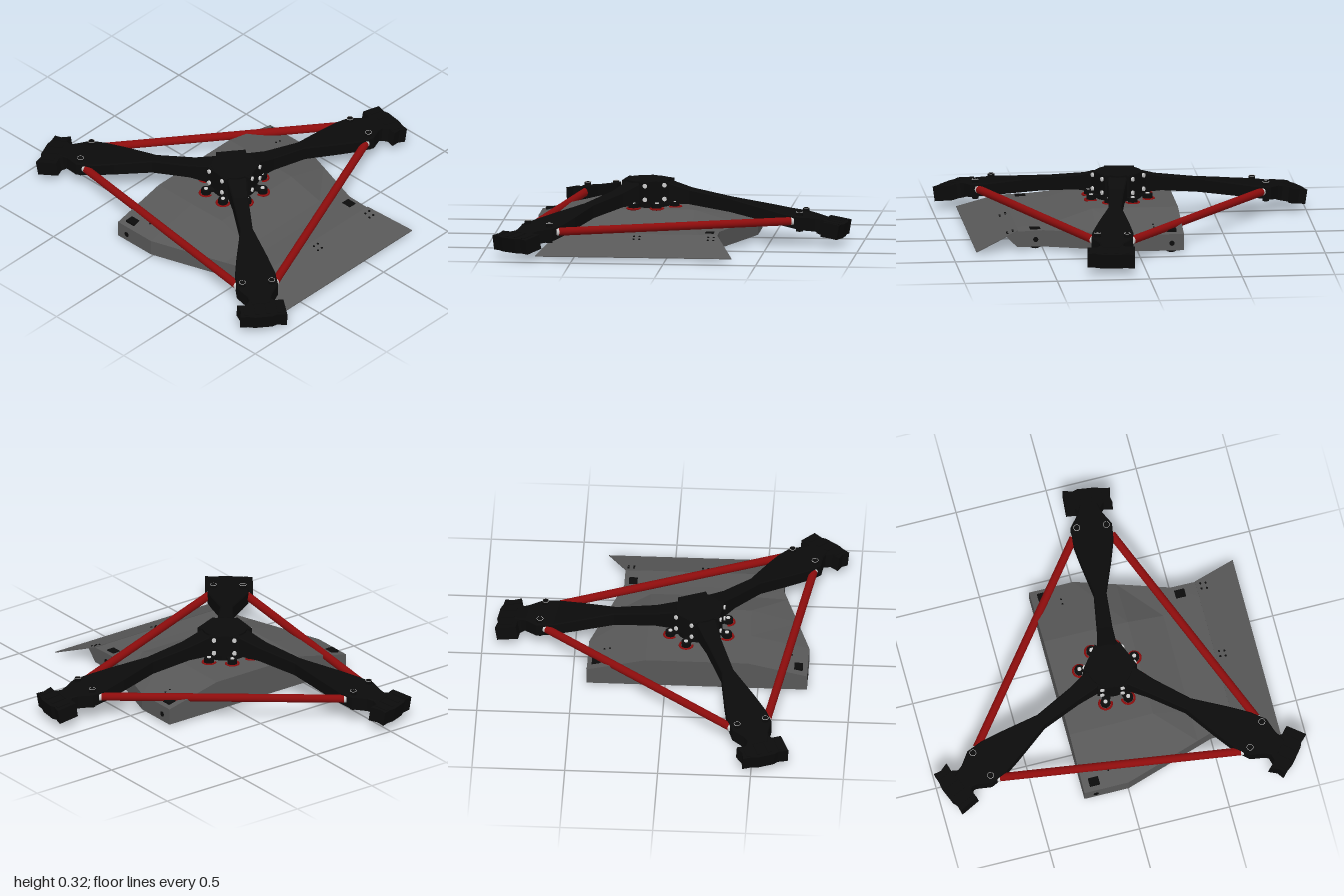
import * as THREE from 'three';

const mat = (color) => new THREE.MeshStandardMaterial({ color });
const BLACK = mat(0x0b0b0b), GREY = mat(0x585858), DARK = mat(0x2c2c2c), RED = mat(0x8c0c0c), SILVER = mat(0xcccccc);
const HUB = new THREE.Vector3(-0.17, 0, 0.05);
const JOINT = 0.857; // distance of the rod joints from the hub
const ANGLES = [8, 128, 248].map((d) => THREE.MathUtils.degToRad(d));

function add(parent, name, geometry, material, x = 0, y = 0, z = 0) {
  const mesh = new THREE.Mesh(geometry, material);
  mesh.name = name;
  mesh.position.set(x, y, z);
  parent.add(mesh);
  return mesh;
}

// Flat-faced skin over convex cross-sections stacked along +z
function loft(sections) {
  const p = [];
  const tri = (a, b, c) => p.push(...a, ...b, ...c);
  const n = sections[0].length;
  for (let s = 0; s < sections.length - 1; s++) {
    const A = sections[s], B = sections[s + 1];
    for (let i = 0; i < n; i++) {
      const j = (i + 1) % n;
      tri(A[i], A[j], B[j]);
      tri(A[i], B[j], B[i]);
    }
  }
  const first = sections[0], last = sections[sections.length - 1];
  for (let i = 1; i < n - 1; i++) {
    tri(first[0], first[i + 1], first[i]);
    tri(last[0], last[i], last[i + 1]);
  }
  const g = new THREE.BufferGeometry();
  g.setAttribute('position', new THREE.Float32BufferAttribute(p, 3));
  g.computeVertexNormals();
  return g;
}

// Cylinder between two points
function rod(parent, name, a, b, radius, material) {
  const dir = b.clone().sub(a);
  const mesh = add(parent, name, new THREE.CylinderGeometry(radius, radius, dir.length(), 20), material);
  mesh.position.copy(a).add(b).multiplyScalar(0.5);
  mesh.quaternion.setFromUnitVectors(new THREE.Vector3(0, 1, 0), dir.normalize());
}

// Ridged base with wheels and a sloping front flap
function buildBase() {
  const base = new THREE.Group();
  base.name = 'base';
  base.position.x = -0.172;

  // z, half width, plateau half width, bottom, edge height, plateau height
  const body = [
    [-0.245, 0.593, 0.275, 0.015, 0.105, 0.18],
    [0, 0.593, 0.275, 0.015, 0.105, 0.18],
    [0.22, 0.522, 0.27, 0.015, 0.105, 0.18],
    [0.42, 0.456, 0.28, 0.015, 0.105, 0.115],
    [0.5, 0.43, 0.3, 0.015, 0.105, 0.108],
    [0.64, 0.43, 0.34, 0.015, 0.1, 0.105],
    [0.7, 0.43, 0.34, 0.075, 0.078, 0.08],
  ].map(([z, w, q, b, e, t]) => [[-w, b, z], [w, b, z], [w, e, z], [q, t, z], [-q, t, z], [-w, e, z]]);
  add(base, 'baseBody', loft(body), GREY);

  const flap = [[0.635, 0.43, 0.106], [0.87, 0.53, 0.016]]
    .map(([z, w, y]) => [[-w, y - 0.003, z], [w, y - 0.003, z], [w, y + 0.002, z], [-w, y + 0.002, z]]);
  add(base, 'frontFlap', loft(flap), GREY);

  for (const side of [-1, 1]) {
    // Wheels in their slots: x, z, body half width, top of slot
    for (const [x, z, w, top] of [[0.545, -0.18, 0.593, 0.124], [0.383, 0.54, 0.43, 0.109]]) {
      const wheel = add(base, 'wheel', new THREE.CylinderGeometry(0.053, 0.053, 0.044, 24), BLACK, side * x, 0.053, z);
      wheel.rotation.z = Math.PI / 2;
      add(base, 'wheelSlot', new THREE.BoxGeometry(0.046, top - 0.013, 0.056), BLACK, side * x, (top + 0.013) / 2, z);
      const axle = add(base, 'axleHole', new THREE.CylinderGeometry(0.014, 0.014, 0.006, 16), BLACK, side * w, 0.055, z);
      axle.rotation.z = Math.PI / 2;
    }
    // Small screw holes on the deck and the flap
    for (const dx of [-0.015, 0.015]) {
      const y = 0.18 - (0.49 + side * dx - 0.275) * 0.236;
      add(base, 'screwHole', new THREE.CylinderGeometry(0.005, 0.005, 0.006, 8), BLACK, side * 0.49 + dx, y, -0.09);
      for (const z of [0.66, 0.69]) {
        add(base, 'flapScrew', new THREE.CylinderGeometry(0.006, 0.006, 0.006, 8), BLACK,
          side * 0.2 + 0.2 + dx, 0.108 - (z - 0.635) * 0.383, z);
      }
    }
    add(base, 'bottomPocket', new THREE.BoxGeometry(0.08, 0.003, 0.07), DARK, side * 0.155, 0.0145, 0.44);
  }
  add(base, 'bottomHole', new THREE.CylinderGeometry(0.045, 0.045, 0.004, 28), BLACK, 0, 0.0145, 0.05);
  return base;
}

// Swept arm that thins, then widens to the rod joints and the end clamp
function buildArm(angle) {
  const arm = new THREE.Group();
  arm.name = 'arm';
  arm.position.copy(HUB);
  arm.rotation.y = -angle;

  // distance from hub, half width, bottom, top
  const beam = [
    [0, 0.06, 0.2, 0.32], [0.09, 0.056, 0.2, 0.32], [0.24, 0.042, 0.195, 0.275], [0.46, 0.034, 0.16, 0.235],
    [0.66, 0.084, 0.126, 0.196], [0.78, 0.11, 0.105, 0.172], [0.87, 0.112, 0.086, 0.16], [0.94, 0.068, 0.075, 0.152],
    [1.0, 0.05, 0.06, 0.138],
  ].map(([u, w, b, t]) => [
    [-w, b, u], [w, b, u], [w, t - 0.006, u], [w - 0.006, t, u], [-w + 0.006, t, u], [-w, t - 0.006, u],
  ]);
  add(arm, 'armBeam', loft(beam).rotateY(Math.PI / 2), BLACK);

  // Jagged end clamp, tilted down with the beam
  const outline = [[-0.07, -0.05], [-0.045, -0.075], [-0.045, -0.125], [0.07, -0.13], [0.062, -0.075], [0.072, -0.05],
    [0.072, 0.045], [0.062, 0.08], [0.06, 0.125], [0.02, 0.115], [-0.03, 0.13], [-0.025, 0.08], [-0.07, 0.05]];
  const clampShape = new THREE.Shape(outline.map(([u, v]) => new THREE.Vector2(u, v)));
  const clamp = new THREE.Group();
  clamp.name = 'endClamp';
  clamp.position.set(1.02, 0.091, 0);
  clamp.rotation.z = -0.17;
  arm.add(clamp);
  const block = new THREE.ExtrudeGeometry(clampShape, { depth: 0.08, bevelEnabled: false });
  add(clamp, 'clampBlock', block.rotateX(Math.PI / 2), BLACK, 0, 0.04, 0);
  for (const v of [-0.09, -0.03, 0.03, 0.09]) {
    add(clamp, 'clampRib', new THREE.BoxGeometry(0.075, 0.087, 0.022), BLACK, 0.015, 0, v);
  }

  // Rod joint bolts
  for (const v of [-0.08, 0.08]) {
    add(arm, 'jointBolt', new THREE.CylinderGeometry(0.018, 0.018, 0.105, 20), BLACK, JOINT, 0.128, v);
    const ring = add(arm, 'jointRing', new THREE.TorusGeometry(0.017, 0.0015, 6, 24), SILVER, JOINT, 0.18, v);
    ring.rotation.x = Math.PI / 2;
  }
  return arm;
}

// Central hub with bolted side plates and damper mounts
function buildHub() {
  const hub = new THREE.Group();
  hub.name = 'hub';
  hub.position.copy(HUB);
  add(hub, 'hubCore', new THREE.CylinderGeometry(0.122, 0.122, 0.121, 36), BLACK, 0, 0.2605, 0);
  add(hub, 'hubFoot', new THREE.CylinderGeometry(0.125, 0.125, 0.03, 36), BLACK, 0, 0.195, 0);

  for (const a of ANGLES) {
    const side = new THREE.Group();
    side.name = 'hubSide';
    side.rotation.y = -(a + Math.PI / 3);
    hub.add(side);
    add(side, 'sidePlate', new THREE.BoxGeometry(0.03, 0.115, 0.16), BLACK, 0.108, 0.262, 0);
    for (const v of [-0.055, 0.055]) for (const y of [0.225, 0.3]) {
      const bolt = add(side, 'plateBolt', new THREE.CylinderGeometry(0.012, 0.012, 0.012, 14), SILVER, 0.126, y, v);
      bolt.rotation.z = Math.PI / 2;
    }
  }

  for (let i = 0; i < 8; i++) {
    const mount = new THREE.Group();
    mount.name = 'damperMount';
    mount.rotation.y = (i + 0.5) * Math.PI / 4;
    hub.add(mount);
    add(mount, 'mountTab', new THREE.BoxGeometry(0.08, 0.012, 0.045), BLACK, 0.13, 0.198, 0);
    add(mount, 'damper', new THREE.CylinderGeometry(0.026, 0.026, 0.03, 20), BLACK, 0.165, 0.192, 0);
    add(mount, 'damperScrew', new THREE.CylinderGeometry(0.011, 0.011, 0.008, 14), SILVER, 0.165, 0.208, 0);
    const arc = new THREE.TorusGeometry(0.034, 0.006, 8, 24, Math.PI * 1.3).rotateZ(-Math.PI * 0.65).rotateX(Math.PI / 2);
    add(mount, 'damperRing', arc, RED, 0.165, 0.18, 0);
  }
  return hub;
}

export function createModel() {
  const model = new THREE.Group();
  model.name = 'triangularMount';
  model.add(buildBase(), buildHub());
  ANGLES.forEach((a) => model.add(buildArm(a)));

  // Tie rods joining neighbouring arms
  const joint = (a, v) => new THREE.Vector3(
    HUB.x + JOINT * Math.cos(a) - v * Math.sin(a), 0.133, HUB.z + JOINT * Math.sin(a) + v * Math.cos(a));
  ANGLES.forEach((a, i) => {
    const from = joint(a, 0.08), to = joint(ANGLES[(i + 1) % 3], -0.08);
    const step = to.clone().sub(from).normalize();
    const p = from.clone().addScaledVector(step, 0.05), q = to.clone().addScaledVector(step, -0.05);
    rod(model, 'tieRod', p, q, 0.022, RED);
    rod(model, 'rodEnd', from, p, 0.014, SILVER);
    rod(model, 'rodEnd', q, to, 0.014, SILVER);
    for (const [c, s] of [[p, -1], [q, 1]]) {
      rod(model, 'rodNut', c, c.clone().addScaledVector(step, s * 0.014), 0.022, SILVER);
    }
  });
  return model;
}
